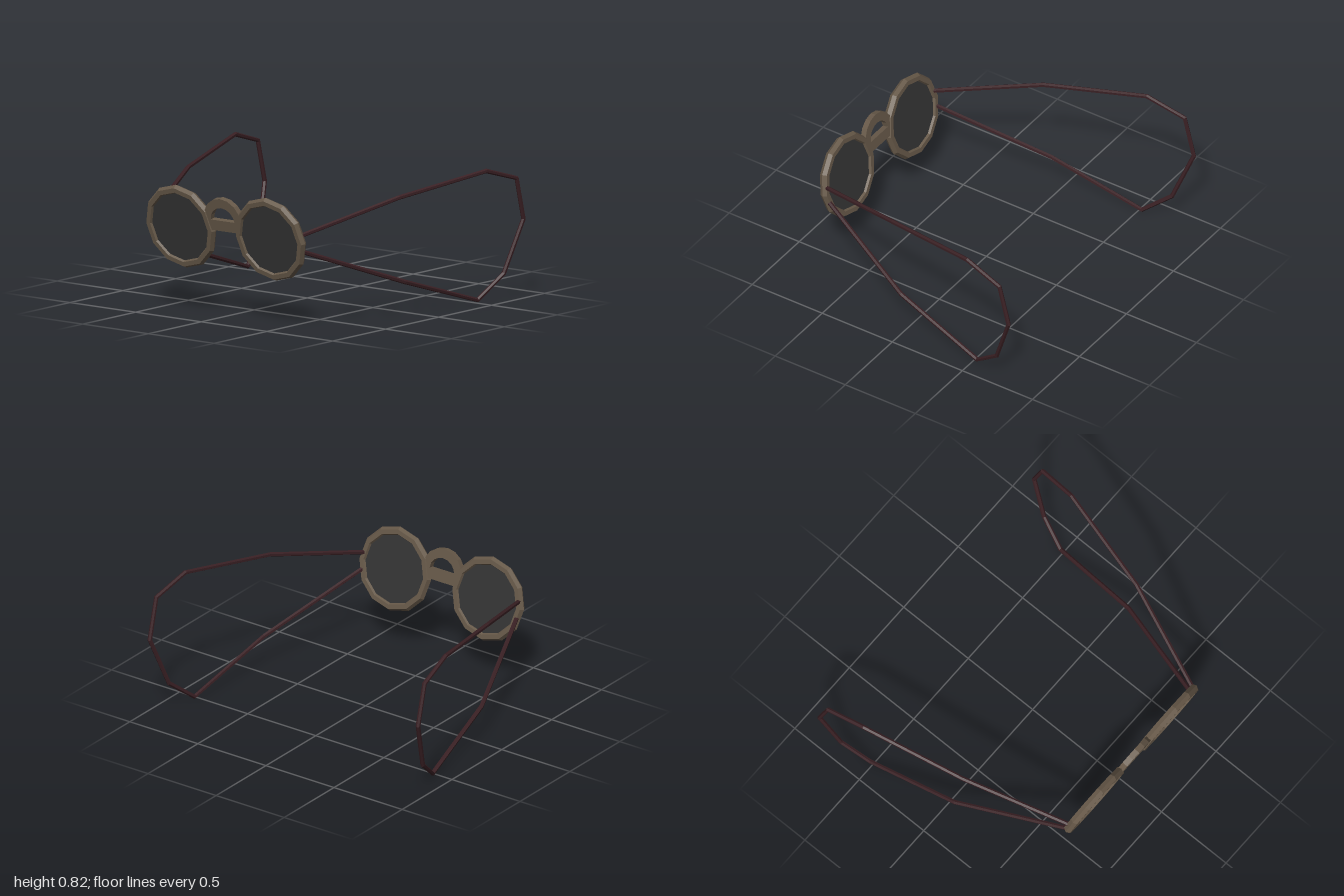
import * as THREE from 'three';

// Straight-sided path whose rings sit exactly on the corner points
class Polyline extends THREE.Curve {
  constructor(points) {
    super();
    this.points = points;
  }
  index(u) {
    return Math.round(u * (this.points.length - 1));
  }
  getPointAt(u, target = new THREE.Vector3()) {
    return target.copy(this.points[this.index(u)]);
  }
  getPoint(u, target) {
    return this.getPointAt(u, target);
  }
  getTangentAt(u, target = new THREE.Vector3()) {
    const p = this.points, i = this.index(u), last = p.length - 1;
    const a = Math.max(i - 1, 0), b = Math.min(i + 1, last);
    const into = p[i].clone().sub(p[a]).normalize();
    const out = p[b].clone().sub(p[i]).normalize();
    return target.copy(into).add(out).normalize();
  }
}

export function createModel() {
  const model = new THREE.Group();
  model.name = 'goggles';
  const material = (name, color) => {
    const m = new THREE.MeshStandardMaterial({ color });
    m.name = name;
    return m;
  };
  const frameBrown = material('frame brown', 0x665848);
  const lensGrey = material('lens grey', 0x343434);
  const strapMaroon = material('strap maroon', 0x3a2024);

  const add = (parent, name, geometry, mat) => {
    const flat = geometry.index ? geometry.toNonIndexed() : geometry;
    flat.computeVertexNormals(); // faceted look
    const mesh = new THREE.Mesh(flat, mat);
    mesh.name = name;
    parent.add(mesh);
    return mesh;
  };

  // Front frame, leaning forward at the top
  const frame = new THREE.Group();
  frame.name = 'frontFrame';
  frame.position.set(0, 0.51, 0.765);
  frame.rotation.x = 0.2;
  model.add(frame);

  for (const [side, s] of [['left', 1], ['right', -1]]) {
    const rim = add(frame, side + 'Rim', new THREE.TorusGeometry(0.234, 0.028, 6, 12), frameBrown);
    rim.position.x = s * 0.341;
    const lens = add(frame, side + 'Lens',
      new THREE.CylinderGeometry(0.218, 0.218, 0.022, 12).rotateX(Math.PI / 2), lensGrey);
    lens.position.x = s * 0.341;
  }

  // Bridge: a straight bar below a half-ring arch
  const bar = add(frame, 'bridgeBar', new THREE.BoxGeometry(0.23, 0.066, 0.036), frameBrown);
  bar.position.y = 0.046;
  const arch = new THREE.Shape();
  const steps = 8;
  for (const [r, h, dir] of [[0.142, 0.142, 1], [0.09, 0.084, -1]]) {
    for (let i = 0; i <= steps; i++) {
      const a = Math.PI * (dir > 0 ? i : steps - i) / steps;
      const x = r * Math.cos(a), y = h * Math.sin(a);
      if (dir > 0 && i === 0) arch.moveTo(x, y);
      else arch.lineTo(x, y);
    }
  }
  const archMesh = add(frame, 'bridgeArch',
    new THREE.ExtrudeGeometry(arch, { depth: 0.036, bevelEnabled: false }), frameBrown);
  archMesh.position.set(0, 0.077, -0.018);

  // Wire straps looping back from the outer edge of each rim
  const loop = [
    [0.565, 0.555, 0.765], [0.8, 0.722, 0.13], [0.955, 0.81, -0.505],
    [0.985, 0.735, -0.755], [0.985, 0.48, -0.82], [0.932, 0.162, -0.7],
    [0.875, 0.02, -0.523], [0.8, 0.206, 0.07], [0.565, 0.457, 0.745],
  ];
  for (const [side, s] of [['left', 1], ['right', -1]]) {
    const path = new Polyline(loop.map(([x, y, z]) => new THREE.Vector3(s * x, y, z)));
    add(model, side + 'Strap', new THREE.TubeGeometry(path, loop.length - 1, 0.014, 6), strapMaroon);
  }
  return model;
}
